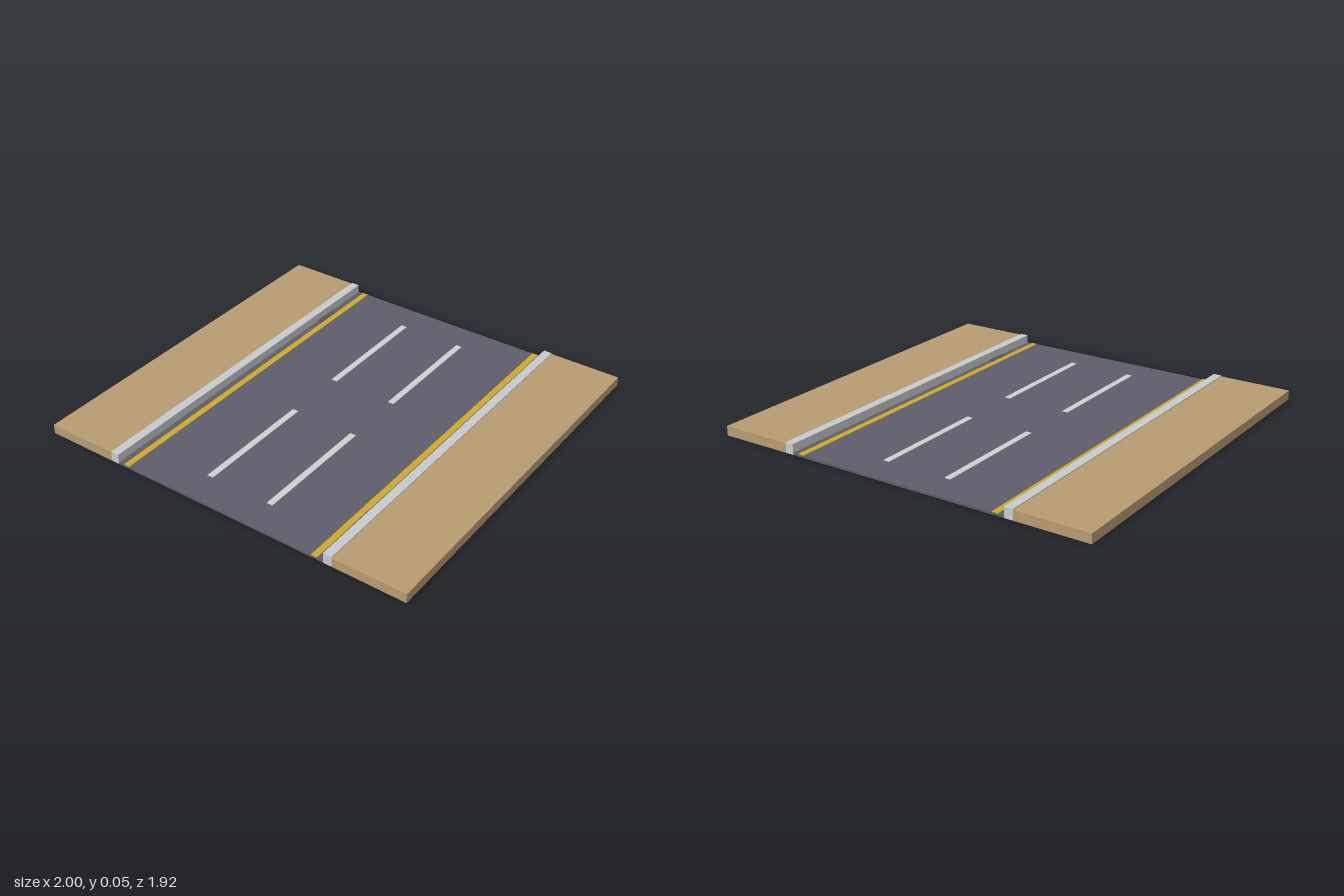
import * as THREE from 'three';

const LENGTH = 1.925;
const ROAD_TOP = 0.011;

function mat(name, color) {
  const m = new THREE.MeshStandardMaterial({ color });
  m.name = name;
  return m;
}

export function createModel() {
  const group = new THREE.Group();
  group.name = 'roadSection';

  const earth = mat('tan earth', 0xb89c72);
  const asphalt = mat('grey asphalt', 0x5d5e6a);
  const concrete = mat('light concrete', 0xc8cbce);
  const yellow = mat('yellow paint', 0xcea82e);
  const white = mat('white paint', 0xcfcfd0);
  const iron = mat('dark iron', 0x51535e);

  // Box given by its x range, y range, z centre and z length
  function slab(name, material, x0, x1, y0, y1, z = 0, length = LENGTH) {
    const geometry = new THREE.BoxGeometry(Math.abs(x1 - x0), y1 - y0, length);
    const mesh = new THREE.Mesh(geometry, material);
    mesh.position.set((x0 + x1) / 2, (y0 + y1) / 2, z);
    mesh.name = name;
    group.add(mesh);
  }

  slab('roadSurface', asphalt, -0.582, 0.582, 0, ROAD_TOP);

  for (const side of [-1, 1]) {
    const label = side > 0 ? 'left' : 'right';

    // Raised verge and its kerb
    slab(label + 'Verge', earth, side * 0.626, side, 0, 0.048);
    slab(label + 'Kerb', concrete, side * 0.582, side * 0.626, 0, 0.053);

    // Painted edge line
    slab(label + 'EdgeLine', yellow, side * 0.519, side * 0.551, ROAD_TOP, ROAD_TOP + 0.002);

    // Gutter drain between the edge line and the kerb
    slab(label + 'Drain', iron, side * 0.551, side * 0.582, ROAD_TOP, ROAD_TOP + 0.003, side * 0.643, 0.125);

    // Lane dashes
    for (const z of [-0.48, 0.48]) {
      slab(label + 'LaneDash', white, side * 0.155, side * 0.187, ROAD_TOP, ROAD_TOP + 0.002, z, 0.64);
    }
  }

  return group;
}
